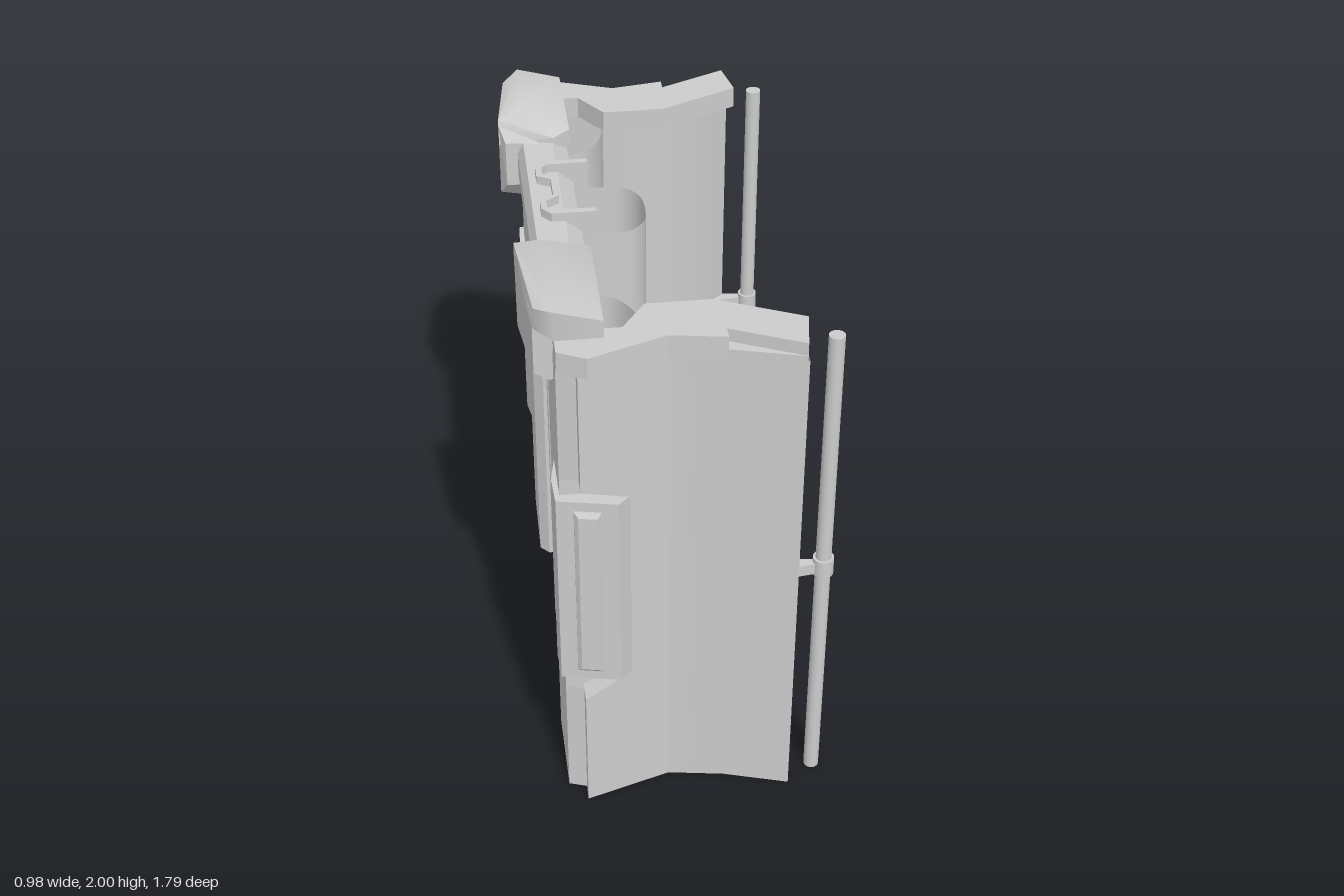
import * as THREE from 'three';
import { ConvexGeometry } from 'three/addons/geometries/ConvexGeometry.js';
import { toCreasedNormals } from 'three/addons/utils/BufferGeometryUtils.js';

export function createModel() {
  const model = new THREE.Group();
  const grey = new THREE.MeshStandardMaterial({ color: 0xcccccc, side: THREE.DoubleSide });
  grey.name = 'light grey';

  function add(parent, name, geometry, x = 0, y = 0, z = 0) {
    const mesh = new THREE.Mesh(geometry, grey);
    mesh.name = name;
    mesh.position.set(x, y, z);
    parent.add(mesh);
    return mesh;
  }

  // Upright prism from a plan outline of [x, z] points; s mirrors it in z
  function prism(plan, y0, y1, s = 1) {
    const shape = new THREE.Shape(plan.map(([x, z]) => new THREE.Vector2(x, -s * z)));
    const g = new THREE.ExtrudeGeometry(shape, { depth: y1 - y0, bevelEnabled: false });
    return g.rotateX(-Math.PI / 2).translate(0, y0, 0);
  }

  // The same prism left open at the bottom and top
  function shell(plan, y0, y1, s = 1) {
    const g = prism(plan, y0, y1, s);
    const { start, count } = g.groups[1];
    const walls = new THREE.BufferGeometry();
    walls.setAttribute('position', new THREE.BufferAttribute(
      g.attributes.position.array.slice(start * 3, (start + count) * 3), 3));
    return toCreasedNormals(walls, 0.4);
  }

  // Faceted solid round a set of [x, y, z] points
  const hull = (points, s = 1) =>
    new ConvexGeometry(points.map(([x, y, z]) => new THREE.Vector3(x, y, s * z)));

  // Smooth plan curve through a few points
  const smooth = (points, n) =>
    new THREE.CatmullRomCurve3(points.map(([x, z]) => new THREE.Vector3(x, 0, z)))
      .getPoints(n).map((p) => [p.x, p.z]);

  // Plan of one side: rounded column, inner wall, outer wall, rear corner
  const column = smooth([[-0.37, 0.455], [-0.27, 0.45], [-0.19, 0.47], [-0.135, 0.55], [-0.11, 0.655]], 20);
  const innerWall = smooth([[-0.11, 0.655], [0.0, 0.645], [0.12, 0.67], [0.25, 0.735], [0.36, 0.82]], 16);
  const outerWall = [[0.358, 0.885], [0.14, 0.82], [-0.05, 0.79], [-0.18, 0.83]];
  const wall = [[-0.4, 0.8], [-0.403, 0.49], ...column, ...innerWall.slice(1), ...outerWall];
  const fullPlan = [...wall, [-0.34, 0.88], [-0.34, 0.82]];
  const notchedPlan = [...wall, [-0.18, 0.77], [-0.34, 0.8]];

  // Plan of the cap, and of its upper layer with a wedge cut out
  const capPlan = [[-0.4, 0.85], [-0.38, 0.86], [-0.31, 0.895], [-0.06, 0.8], [0.12, 0.83], [0.35, 0.895],
    [0.375, 0.75], [0.1, 0.62], [-0.11, 0.62], [-0.19, 0.74], [-0.25, 0.74], [-0.4, 0.74]];
  const capTopPlan = capPlan.slice();
  capTopPlan.splice(5, 1, [0.12, 0.785], [0.35, 0.893]);

  function side(s) {
    const group = new THREE.Group();
    group.name = s > 0 ? 'frontSide' : 'backSide';

    // Curved wall panel and column, with a notch behind the handle
    add(group, 'panelLower', shell(fullPlan, 0, 0.47, s));
    add(group, 'panelMiddle', shell(notchedPlan, 0.47, 1.35, s));
    add(group, 'panelUpper', shell(fullPlan, 1.35, 1.79, s));
    for (const [flat, slope] of [[0.47, 0.54], [1.35, 1.28]]) {
      add(group, 'notchSlope', hull([
        [-0.34, flat, 0.88], [-0.34, flat, 0.8], [-0.18, flat, 0.83], [-0.18, flat, 0.77],
        [-0.18, slope, 0.83], [-0.18, slope, 0.77]], s));
    }

    // Panel cap with a sunken wedge on its outer edge
    add(group, 'capBase', prism(capPlan, 1.785, 1.815, s));
    add(group, 'capTop', prism(capTopPlan, 1.815, 1.86, s));

    // Handle block wrapping the rear corner, with a bevelled grip
    const block = [];
    for (const y of [0.54, 1.285]) {
      block.push([-0.22, y, 0.87], [-0.18, y, 0.83], [-0.18, y, 0.76],
        [-0.415, y, 0.83], [-0.42, y, 0.72], [-0.4, y, 0.6]);
    }
    add(group, 'handleBlock', hull(block, s));
    const grip = [];
    for (const [w, h, out] of [[0.042, 0.335, -0.01], [0.042, 0.335, 0.006], [0.03, 0.32, 0.018]]) {
      for (const i of [-1, 1]) {
        for (const j of [-1, 1]) grip.push([-0.318 + i * w, 0.915 + j * h, 0.85 + 0.2 * i * w + out]);
      }
    }
    add(group, 'handleGrip', hull(grip, s));

    // Faceted shoulder block on top
    add(group, 'shoulder', toCreasedNormals(hull([
      [-0.25, 1.86, 0.79], [-0.25, 1.92, 0.79], [-0.25, 1.86, 0.38], [-0.25, 1.93, 0.38],
      [-0.31, 1.88, 0.345], [-0.31, 1.92, 0.345], [-0.49, 1.88, 0.39], [-0.49, 1.97, 0.4],
      [-0.41, 2.0, 0.44], [-0.46, 1.87, 0.73], [-0.455, 1.94, 0.73],
      [-0.4, 1.86, 0.79], [-0.4, 1.96, 0.79]], s), 0.9));

    // Clamp reaching down behind the column
    add(group, 'shoulderClamp', hull([
      [-0.47, 1.9, 0.36], [-0.47, 1.74, 0.36], [-0.36, 1.74, 0.35], [-0.36, 1.9, 0.35],
      [-0.49, 1.95, 0.4], [-0.49, 1.68, 0.42], [-0.42, 1.65, 0.45], [-0.34, 1.69, 0.45],
      [-0.34, 1.92, 0.45], [-0.46, 1.9, 0.72], [-0.46, 1.7, 0.72], [-0.41, 1.67, 0.72],
      [-0.36, 1.7, 0.72], [-0.36, 1.9, 0.72]], s));

    // Pole, its ring and the strap along the inner wall
    add(group, 'pole', new THREE.CylinderGeometry(0.026, 0.026, 1.82, 20), 0.455, 0.91, s * 0.8);
    add(group, 'poleRing', new THREE.CylinderGeometry(0.035, 0.035, 0.065, 20), 0.455, 0.915, s * 0.8);
    add(group, 'poleStrap', prism([[0.44, 0.815], [0.36, 0.825], [0.25, 0.74], [0.14, 0.685], [0.14, 0.665],
      [0.25, 0.715], [0.36, 0.785], [0.44, 0.79]], 0.89, 0.932, s));
    return group;
  }
  model.add(side(1), side(-1));

  // Faceted cross bar joining the sides
  const bar = [];
  for (const z of [-0.44, 0.44]) {
    for (const [x, y] of [[-0.265, 1.755], [-0.26, 1.86], [-0.31, 1.9], [-0.41, 1.9],
      [-0.43, 1.86], [-0.43, 1.78], [-0.4, 1.75], [-0.28, 1.75]]) bar.push([x, y, z]);
  }
  add(model, 'crossBar', hull(bar));

  // Centre column: rounded front, grooved back
  const bulge = smooth([[-0.2, -0.15], [-0.1, -0.14], [-0.05, -0.09], [-0.035, 0], [-0.05, 0.09],
    [-0.1, 0.14], [-0.2, 0.15]], 30);
  add(model, 'centreColumn', shell([...bulge, [-0.33, 0.15], [-0.375, 0.12], [-0.375, 0.08],
    [-0.335, 0.045], [-0.335, -0.045], [-0.375, -0.08], [-0.375, -0.12], [-0.33, -0.15]], 0, 1.83));

  // Folded clip over the bar, with two hanging arms
  const half = [[-0.21, 0.172], [-0.355, 0.172], [-0.385, 0.135], [-0.385, 0.075], [-0.34, 0.05]];
  const halfIn = [[-0.21, 0.148], [-0.345, 0.148], [-0.365, 0.128], [-0.365, 0.088], [-0.322, 0.058]];
  const flip = (list) => list.map(([x, z]) => [x, -z]).reverse();
  add(model, 'clip', prism([...half, ...flip(half), ...halfIn.map(([x, z]) => [x, -z]),
    ...halfIn.slice().reverse()], 1.86, 1.93));
  for (const s of [1, -1]) {
    add(model, 'clipArm', new THREE.BoxGeometry(0.13, 0.21, 0.024), -0.275, 1.824, s * 0.16);
  }
  return model;
}
